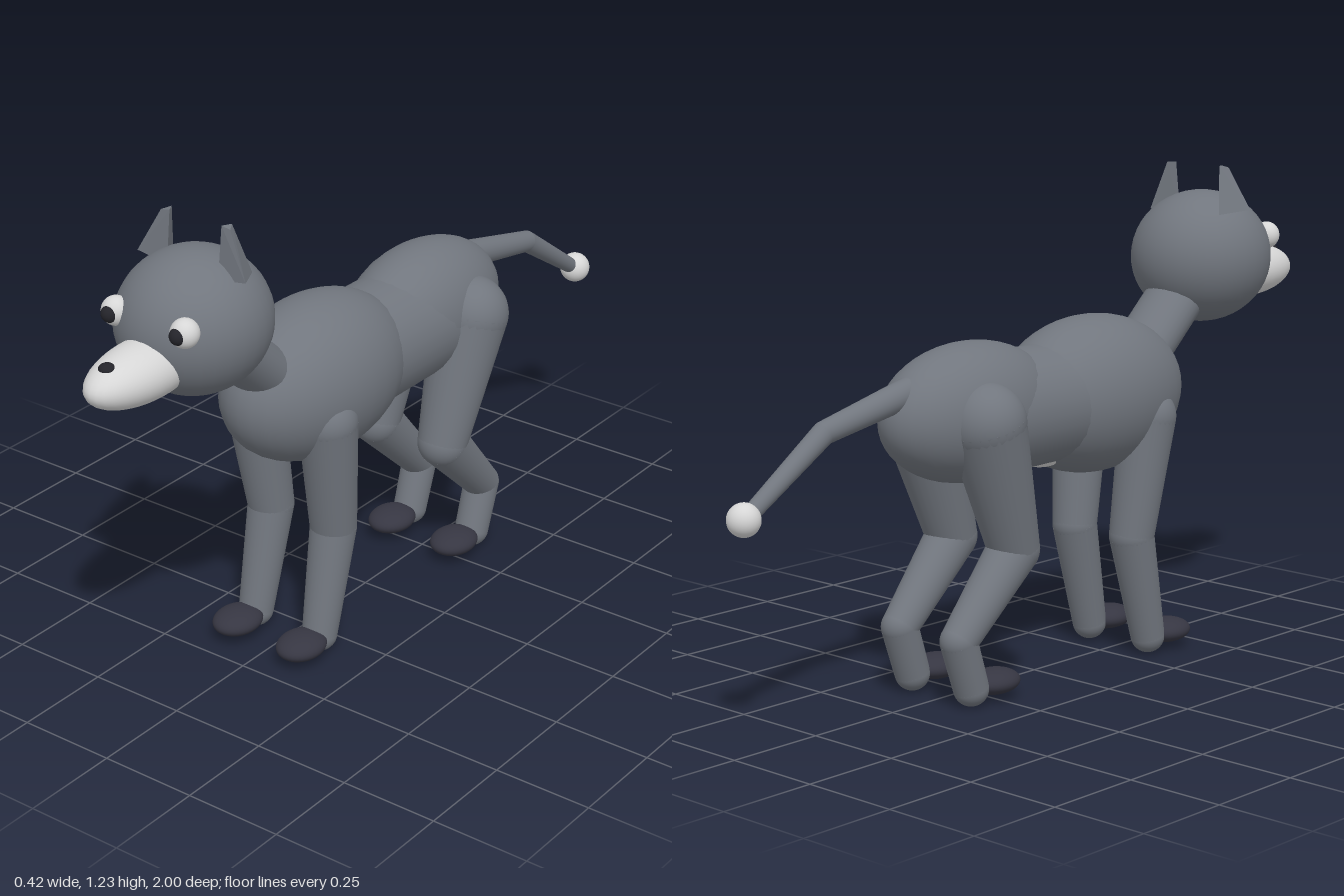
import * as THREE from 'three';
import { ConvexGeometry } from 'three/addons/geometries/ConvexGeometry.js';

const mat = (name, color) => {
  const m = new THREE.MeshStandardMaterial({ color });
  m.name = name;
  return m;
};

export function createModel() {
  const fur = mat('grey fur', 0x71767e);
  const pale = mat('pale fur', 0xd6d6d6);
  const pawDark = mat('dark paw', 0x363642);
  const black = mat('black', 0x24242a);
  const model = new THREE.Group();
  model.name = 'dog';

  const add = (parent, name, geometry, material) => {
    const mesh = new THREE.Mesh(geometry, material);
    mesh.name = name;
    parent.add(mesh);
    return mesh;
  };

  // Ellipsoid from centre and three radii
  const ball = (parent, name, material, [x, y, z], [rx, ry, rz]) => {
    const mesh = add(parent, name, new THREE.SphereGeometry(1, 32, 24), material);
    mesh.position.set(x, y, z);
    mesh.scale.set(rx, ry, rz);
    return mesh;
  };

  // Tapered round bar between two points
  const bar = (parent, name, material, a, b, ra, rb) => {
    const p = new THREE.Vector3(...a), q = new THREE.Vector3(...b);
    const dir = q.clone().sub(p);
    const mesh = add(parent, name, new THREE.CylinderGeometry(rb, ra, dir.length(), 28), material);
    mesh.position.copy(p).add(q).multiplyScalar(0.5);
    mesh.quaternion.setFromUnitVectors(new THREE.Vector3(0, 1, 0), dir.normalize());
    return mesh;
  };

  // Chain of bars with round joints; each joint is [x, y, z, radius]
  const limb = (name, joints) => {
    const group = new THREE.Group();
    group.name = name;
    joints.forEach((j, i) => {
      ball(group, name + 'Joint', fur, j, [j[3], j[3], j[3]]);
      const n = joints[i + 1];
      if (n) bar(group, name + 'Segment', fur, j.slice(0, 3), n.slice(0, 3), j[3], n[3]);
    });
    model.add(group);
    return group;
  };

  // Body
  ball(model, 'chest', fur, [0, 0.688, 0.208], [0.18, 0.2, 0.29]);
  bar(model, 'waist', fur, [0, 0.685, 0.12], [0, 0.685, -0.2], 0.149, 0.149);
  ball(model, 'hips', fur, [0, 0.702, -0.235], [0.15, 0.171, 0.27]);
  ball(model, 'belly', pale, [0, 0.585, 0.03], [0.07, 0.06, 0.1]);

  // Neck and head
  const neck = bar(model, 'neck', fur, [0, 0.74, 0.37], [0, 0.95, 0.6], 0.066, 0.066);
  neck.scale.x = 1.25;
  ball(model, 'head', fur, [0, 0.995, 0.644], [0.18, 0.172, 0.188]);
  ball(model, 'muzzle', pale, [0, 0.938, 0.82], [0.082, 0.07, 0.18]);
  ball(model, 'nose', black, [0, 0.983, 0.938], [0.021, 0.014, 0.02]);

  // Mirrored parts
  for (const s of [1, -1]) {
    const side = s > 0 ? 'left' : 'right';
    ball(model, side + 'Eye', pale, [s * 0.1, 1.043, 0.793], [0.034, 0.035, 0.034]);
    ball(model, side + 'Pupil', black, [s * 0.099, 1.043, 0.814], [0.021, 0.021, 0.021]);

    // Three-sided ear with a blunt tip
    const ear = [
      [0.157, 1.125, 0.65], [0.074, 1.11, 0.645], [0.115, 1.115, 0.575],
      [0.1, 1.232, 0.63], [0.075, 1.236, 0.63], [0.087, 1.236, 0.608],
    ].map(([x, y, z]) => new THREE.Vector3(s * x, y, z));
    add(model, side + 'Ear', new ConvexGeometry(ear), fur);

    // Legs and paws
    limb(side + 'FrontLeg', [
      [s * 0.113, 0.63, 0.3, 0.073], [s * 0.097, 0.325, 0.26, 0.058], [s * 0.1, 0.05, 0.322, 0.044],
    ]);
    ball(model, side + 'FrontPaw', pawDark, [s * 0.1, 0.052, 0.395], [0.058, 0.031, 0.07]);
    limb(side + 'HindLeg', [
      [s * 0.112, 0.695, -0.29, 0.098], [s * 0.105, 0.37, -0.187, 0.064],
      [s * 0.1, 0.175, -0.375, 0.046], [s * 0.1, 0.05, -0.333, 0.044],
    ]);
    ball(model, side + 'HindPaw', pawDark, [s * 0.1, 0.052, -0.252], [0.058, 0.031, 0.07]);
  }

  // Tail with pale tip
  limb('tail', [[0, 0.775, -0.44, 0.036], [0, 0.717, -0.71, 0.028], [0, 0.56, -0.945, 0.02]]);
  ball(model, 'tailTip', pale, [0, 0.555, -0.957], [0.04, 0.04, 0.04]);

  return model;
}
